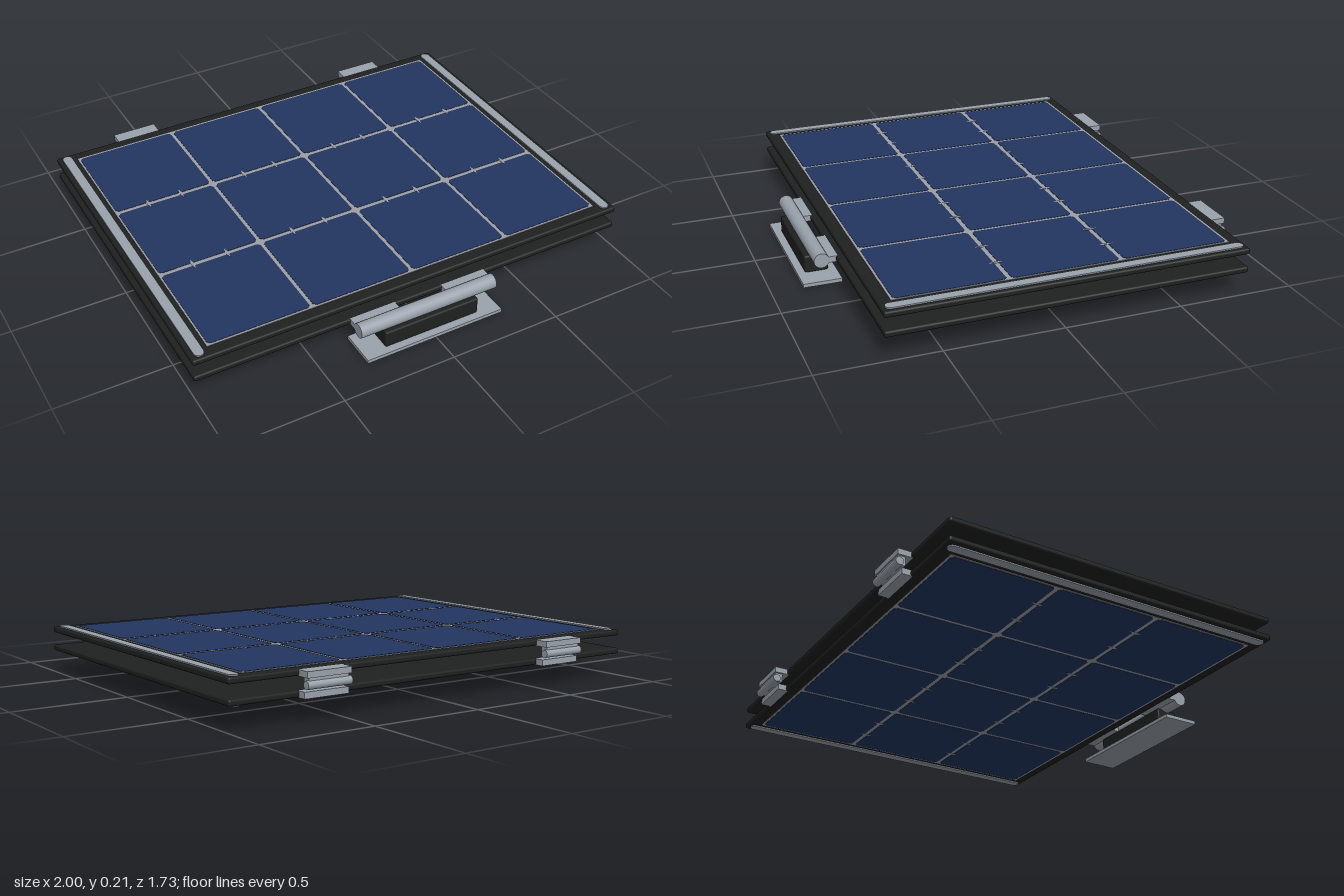
import * as THREE from 'three';
import { RoundedBoxGeometry } from 'three/addons/geometries/RoundedBoxGeometry.js';

const material = (name, color) => Object.assign(new THREE.MeshStandardMaterial({ color }), { name });

export function createModel() {
  const black = material('black frame', 0x1f2020);
  const blue = material('blue cell', 0x22365f);
  const backing = material('grey backing', 0x9d9fa5);
  const metal = material('brushed metal', 0x9aa2ac);
  const model = new THREE.Group();
  model.name = 'foldingSolarPanel';

  const add = (parent, name, geometry, mat, x = 0, y = 0, z = 0) => {
    const mesh = new THREE.Mesh(geometry, mat);
    mesh.name = name;
    mesh.position.set(x, y, z);
    parent.add(mesh);
    return mesh;
  };
  const box = (w, h, d) => new THREE.BoxGeometry(w, h, d);
  const bar = (r, length) => new THREE.CylinderGeometry(r, r, length, 32).rotateZ(Math.PI / 2);
  // flat outline in x/z, raised by depth
  const plate = (points, depth) =>
    new THREE.ExtrudeGeometry(new THREE.Shape(points.map(p => new THREE.Vector2(...p))),
      { depth, bevelEnabled: false }).rotateX(-Math.PI / 2);

  // Cell with clipped corners
  const w = 0.222, d = 0.2275, c = 0.012;
  const cellGeo = plate([[-w + c, -d], [w - c, -d], [w, -d + c], [w, d - c],
    [w - c, d], [-w + c, d], [-w, d - c], [-w, -d + c]], 0.002);
  // Small contact tab bridging two cells
  const tabGeo = plate([[-0.008, 0], [0, -0.03], [0.008, 0], [0, 0.03]], 0.001);
  // Side rail with round ends
  const railShape = new THREE.Shape();
  railShape.absarc(0, 0.727, 0.021, 0, Math.PI);
  railShape.absarc(0, -0.727, 0.021, Math.PI, Math.PI * 2);
  const railGeo = new THREE.ExtrudeGeometry(railShape,
    { depth: 0.006, bevelEnabled: false, curveSegments: 10 }).rotateX(-Math.PI / 2);

  // One panel, its cells facing up
  function panel(name) {
    const g = new THREE.Group();
    g.name = name;
    add(g, 'frame', new RoundedBoxGeometry(2, 0.026, 1.525, 3, 0.009), black);
    add(g, 'backingSheet', box(1.836, 0.003, 1.422), backing, 0, 0.0135);
    for (let i = 0; i < 4; i++) {
      const x = (i - 1.5) * 0.459;
      for (let j = 0; j < 3; j++) add(g, 'cell', cellGeo, blue, x, 0.0145, (j - 1) * 0.474);
      for (const s of [-1, 1])
        for (const z of [-0.237, 0.237]) add(g, 'contactTab', tabGeo, backing, x + s * 0.077, 0.0165, z);
    }
    for (const s of [-1, 1]) add(g, 'sideRail', railGeo, metal, s * 0.96, 0.0125);
    model.add(g);
    return g;
  }
  panel('upperPanel').position.set(0, 0.19, -0.038);
  const lower = panel('lowerPanel');
  lower.position.set(0, 0.109, -0.038);
  lower.rotation.z = Math.PI;

  // Rear hinges
  for (const s of [-1, 1]) {
    const hinge = new THREE.Group();
    hinge.name = 'hinge';
    hinge.position.x = s * 0.6;
    add(hinge, 'upperLeaf', box(0.2, 0.025, 0.065), metal, 0, 0.189, -0.825);
    add(hinge, 'web', box(0.18, 0.045, 0.033), metal, 0, 0.16, -0.836);
    add(hinge, 'barrel', bar(0.017, 0.2), metal, 0, 0.149, -0.847);
    add(hinge, 'lowerLeaf', box(0.2, 0.026, 0.045), metal, 0, 0.109, -0.815);
    model.add(hinge);
  }

  // Front mount: tube, block and foot plate
  const mount = new THREE.Group();
  mount.name = 'frontMount';
  add(mount, 'tube', bar(0.032, 0.64), metal, 0, 0.109, 0.785);
  add(mount, 'block', new RoundedBoxGeometry(0.44, 0.076, 0.1, 2, 0.008), black, 0, 0.053, 0.785);
  add(mount, 'footPlate', box(0.64, 0.016, 0.165), metal, 0, 0.008, 0.784);
  for (const s of [-1, 1]) add(mount, 'bracket', box(0.21, 0.026, 0.05), metal, s * 0.215, 0.109, 0.742);
  model.add(mount);

  return model;
}
